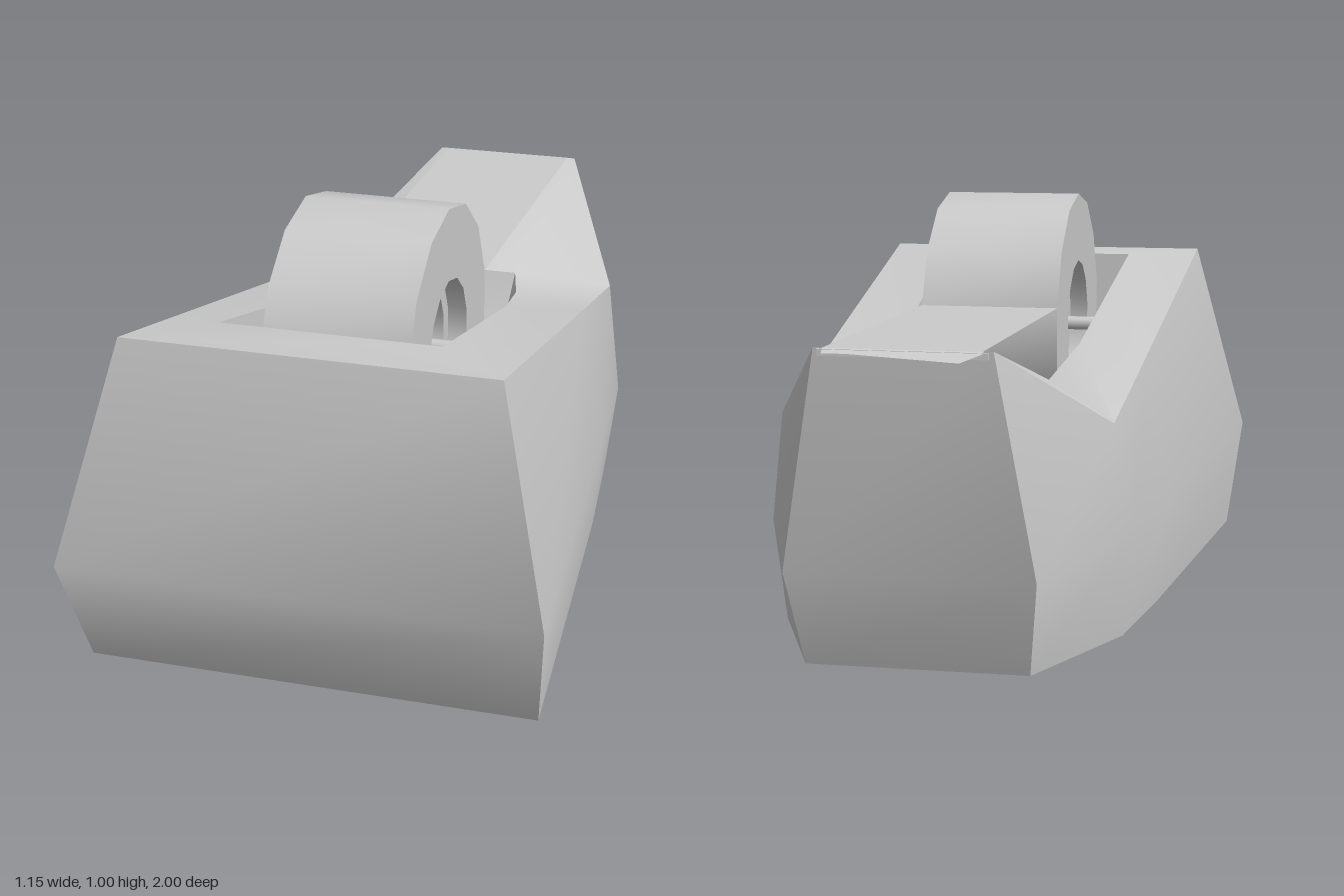
import * as THREE from 'three';
import { toCreasedNormals } from 'three/addons/utils/BufferGeometryUtils.js';

const grey = new THREE.MeshStandardMaterial({ color: 0xcccccc, side: THREE.DoubleSide });

function add(group, name, geometry, x = 0, y = 0, z = 0) {
  const mesh = new THREE.Mesh(geometry, grey);
  mesh.name = name;
  mesh.position.set(x, y, z);
  group.add(mesh);
  return mesh;
}

// Skin a stack of mirrored half-rings (front to back on +x), capped at both ends.
function skin(halves) {
  const rings = halves.map(h => [...h, ...h.slice().reverse().map(([x, y, z]) => [-x, y, z])]);
  const n = rings[0].length;
  const pos = [];
  const quad = (a, b, c, d) => pos.push(...a, ...b, ...c, ...a, ...c, ...d);
  for (let r = 0; r < rings.length - 1; r++) {
    for (let i = 0; i < n; i++) {
      const j = (i + 1) % n;
      quad(rings[r][i], rings[r][j], rings[r + 1][j], rings[r + 1][i]);
    }
  }
  const low = rings[0], high = rings[rings.length - 1];
  for (let i = 0; i < n / 2 - 1; i++) {
    quad(low[n - 1 - i], low[n - 2 - i], low[i + 1], low[i]);
    quad(high[i], high[i + 1], high[n - 2 - i], high[n - 1 - i]);
  }
  const g = new THREE.BufferGeometry();
  g.setAttribute('position', new THREE.Float32BufferAttribute(pos, 3));
  return toCreasedNormals(g, 0.65);
}

// Fourteen-sided ring with a hole, its axis along x and centred on it.
function ring(outer, inner, width) {
  const circle = (r, Type) => new Type(Array.from({ length: 14 }, (_, i) => {
    const a = i / 14 * Math.PI * 2;
    return new THREE.Vector2(r * Math.sin(a), r * Math.cos(a));
  }));
  const shape = circle(outer, THREE.Shape);
  shape.holes.push(circle(inner, THREE.Path));
  const g = new THREE.ExtrudeGeometry(shape, { depth: width, bevelEnabled: false });
  g.translate(0, 0, -width / 2).rotateY(Math.PI / 2);
  return toCreasedNormals(g, 0.65);
}

export function createModel() {
  const group = new THREE.Group();
  group.name = 'tapeDispenser';

  // Body: base, widest line, top edge, well edge, well floor
  add(group, 'body', skin([
    [[0.542, 0, 0.89], [0.455, 0, -0.1], [0.415, 0, -0.45], [0.26, 0, -0.83]],
    [[0.575, 0.28, 1], [0.477, 0.26, -0.1], [0.445, 0.25, -0.46], [0.288, 0.23, -0.91]],
    [[0.445, 0.81, 0.87], [0.414, 0.61, -0.1], [0.4, 0.525, -0.52], [0.2, 0.745, -0.95]],
    [[0.265, 0.805, 0.71], [0.235, 0.638, 0], [0.2, 0.582, -0.25], [0.175, 0.602, -0.34]],
    [[0.24, 0.22, 0.69], [0.215, 0.22, 0], [0.19, 0.3, -0.15], [0.15, 0.4, -0.25]],
  ]));

  // Roll, its core and the axle
  const cy = 0.65, cz = 0.342;
  add(group, 'tapeRoll', ring(0.35, 0.17, 0.355), 0, cy, cz);
  add(group, 'rollCore', ring(0.17, 0.13, 0.26), 0, cy, cz);
  add(group, 'axle', new THREE.CylinderGeometry(0.018, 0.018, 0.52, 10).rotateZ(Math.PI / 2), 0, cy, cz);

  // Loose strip pulled back to the cutter
  const strip = new THREE.PlaneGeometry(0.355, 0.952);
  strip.rotateX(-Math.PI / 2 + Math.atan2(0.016, 0.952));
  add(group, 'tapeStrip', strip, 0, 0.737, -0.476);

  // Torn end of the strip, bent down over the cutter
  const torn = new THREE.Shape([[-0.178, 0], [0.178, 0], [0.175, 0.025], [0.12, 0.025], [-0.135, 0.052], [-0.178, 0.012]]
    .map(p => new THREE.Vector2(...p)));
  add(group, 'tornEnd', new THREE.ShapeGeometry(torn).rotateX(-Math.PI / 2 - 0.4), 0, 0.745, -0.952);

  // Cutter bar along the back edge
  add(group, 'cutter', new THREE.BoxGeometry(0.38, 0.015, 0.02), 0, 0.735, -0.95);
  return group;
}
